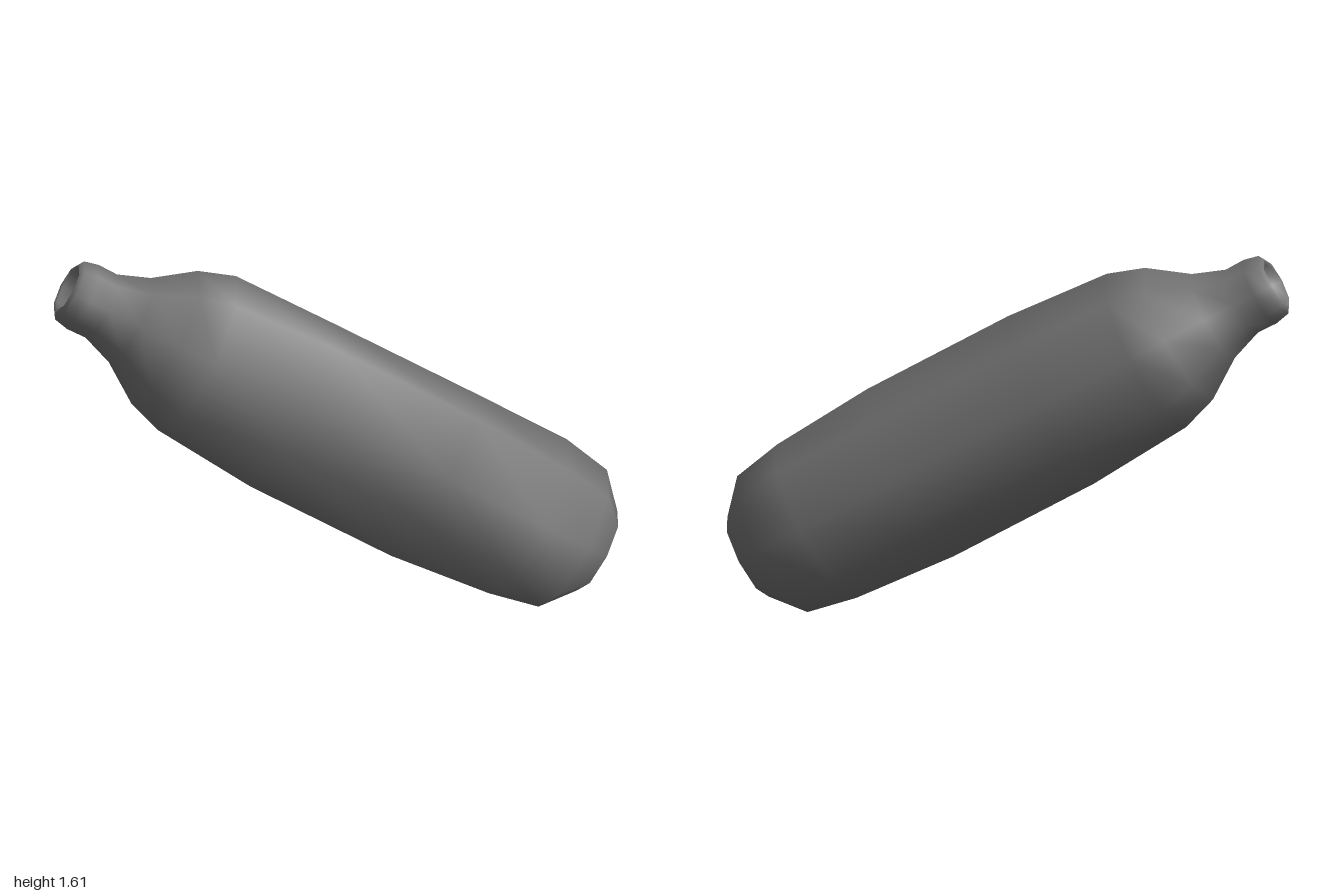
import * as THREE from 'three';
import { mergeVertices } from 'three/addons/utils/BufferGeometryUtils.js';

const SIDES = 8;
const START = THREE.MathUtils.degToRad(12);

// Skin a row of rings [z, radius or list of radii] with shared, smooth vertices
function loft(rings) {
  const pos = [], index = [];
  for (const [z, r] of rings) {
    for (let i = 0; i < SIDES; i++) {
      const a = START + (i / SIDES) * Math.PI * 2;
      const rad = Array.isArray(r) ? r[i] : r;
      pos.push(rad * Math.cos(a), rad * Math.sin(a), z);
    }
  }
  for (let j = 0; j < rings.length - 1; j++) {
    for (let i = 0; i < SIDES; i++) {
      const a = j * SIDES + i, b = j * SIDES + (i + 1) % SIDES;
      if (rings[j][1] !== 0) index.push(a, b, b + SIDES);
      if (rings[j + 1][1] !== 0) index.push(a, b + SIDES, a + SIDES);
    }
  }
  // a zero-radius first ring needs its fan triangles only
  let geo = new THREE.BufferGeometry();
  geo.setAttribute('position', new THREE.Float32BufferAttribute(pos, 3));
  geo.setIndex(index);
  geo = mergeVertices(geo, 1e-5);
  geo.computeVertexNormals();
  return geo;
}

export function createModel() {
  const group = new THREE.Group();
  group.name = 'gasCartridge';
  const steel = new THREE.MeshStandardMaterial({ color: 0x767676 });
  steel.name = 'grey steel';

  const add = (name, rings) => {
    const mesh = new THREE.Mesh(loft(rings), steel);
    mesh.name = name;
    cartridge.add(mesh);
  };
  const cartridge = new THREE.Group();
  cartridge.name = 'tiltedCartridge';

  // Squeezed middle: dented on one side, bulging beside the dent
  const dented = [0.36, 0.37, 0.40, 0.31, 0.29, 0.408, 0.40, 0.37];

  // Neck, shoulder, body and rounded base
  add('body', [
    [-1.79, 0.115], [-1.775, 0.138], [-1.71, 0.152], [-1.62, 0.15],
    [-1.48, 0.2], [-1.31, 0.315], [-1.15, 0.367],
    [-0.68, dented], [0.01, dented],
    [0.47, 0.367], [0.69, 0.325], [0.81, 0.19], [0.85, 0],
  ]);

  // Sunken mouth inside the rim
  add('mouth', [[-1.69, 0], [-1.75, 0.09], [-1.785, 0.095], [-1.79, 0.115]]);

  // Lean the cartridge: local z runs from the neck down to the base
  const axis = new THREE.Vector3(1, -0.72, 0.77).normalize();
  const side = new THREE.Vector3(0, 1, 0).cross(axis).normalize();
  const up = new THREE.Vector3().crossVectors(axis, side);
  cartridge.quaternion.setFromRotationMatrix(new THREE.Matrix4().makeBasis(side, up, axis));
  cartridge.position.set(0.303, 0.62, 0.195);
  group.add(cartridge);
  return group;
}
